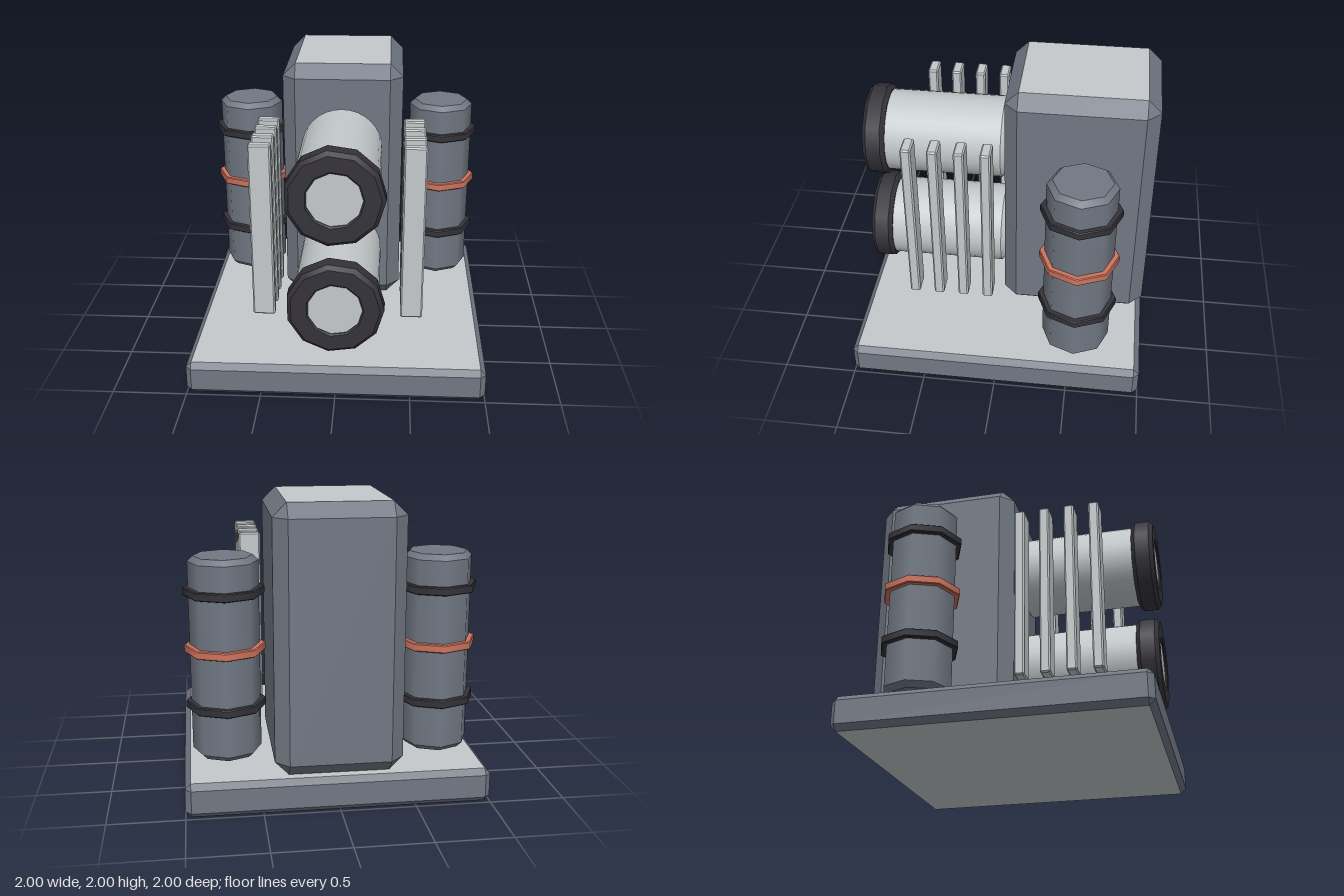
import * as THREE from 'three';
import { mergeGeometries } from 'three/addons/utils/BufferGeometryUtils.js';
import { ConvexGeometry } from 'three/addons/geometries/ConvexGeometry.js';

const material = (name, color) => {
  const m = new THREE.MeshStandardMaterial({ color });
  m.name = name;
  return m;
};

// Box with every edge chamfered by c; group 0 = sides, group 1 = flat top and bottom
function chamferBox(w, h, d, c) {
  const points = [];
  for (const sx of [-1, 1]) for (const sy of [-1, 1]) for (const sz of [-1, 1]) {
    const x = w / 2, y = h / 2, z = d / 2;
    points.push(
      new THREE.Vector3(sx * x, sy * (y - c), sz * (z - c)),
      new THREE.Vector3(sx * (x - c), sy * y, sz * (z - c)),
      new THREE.Vector3(sx * (x - c), sy * (y - c), sz * z));
  }
  const geo = new ConvexGeometry(points);
  const normal = geo.attributes.normal;
  for (let i = 0; i < normal.count; i += 3) {
    geo.addGroup(i, 3, Math.abs(normal.getY(i)) > 0.99 ? 1 : 0);
  }
  return geo;
}

// Lathe that is smooth around its axis but sharp at each profile corner
function sharpLathe(profile, sides, start = 0) {
  const pts = profile.map(([r, y]) => new THREE.Vector2(r, y));
  const bands = pts.slice(1).map((p, i) =>
    new THREE.LatheGeometry([pts[i], p], sides, start, Math.PI * 2));
  const geo = mergeGeometries(bands);
  geo.normalizeNormals();
  return geo;
}

// Closed cylinder profile with chamfered rims
const drum = (r, y0, y1, c) => [
  [0, y0], [r - c, y0], [r, y0 + c], [r, y1 - c], [r - c, y1], [0, y1]];

export function createModel() {
  const model = new THREE.Group();
  model.name = 'twinBarrelMachine';

  const slate = material('slate', 0x717883);
  const light = material('lightGrey', 0xc4c9cb);
  const dark = material('charcoal', 0x35333a);
  const orange = material('copper', 0xd0745e);

  const add = (name, geo, mat, x = 0, y = 0, z = 0, parent = model) => {
    const mesh = new THREE.Mesh(geo, mat);
    mesh.name = name;
    mesh.position.set(x, y, z);
    parent.add(mesh);
    return mesh;
  };

  // Base slab and tall housing, with light top and bottom faces
  add('base', chamferBox(2, 0.23, 2, 0.038), [slate, light], 0, 0.115, 0);
  add('housing', chamferBox(0.84, 1.765, 1, 0.09), [slate, light], 0, 1.1175, -0.5);

  // Two forward barrels with dark collars
  const barrelGeo = sharpLathe(drum(0.283, 0, 0.965, 0.038), 32).rotateX(Math.PI / 2);
  const collarGeo = sharpLathe([
    [0.2, 0.828], [0.295, 0.828], [0.322, 0.855], [0.322, 0.953], [0.295, 0.98],
    [0.19, 0.98], [0.18, 0.972], [0.18, 0.93],
  ], 11, Math.PI / 2).rotateX(Math.PI / 2);
  for (const [name, y] of [['upper', 1.427], ['lower', 0.658]]) {
    add(name + 'Barrel', barrelGeo, light, 0, y, 0);
    add(name + 'Collar', collarGeo, dark, 0, y, 0);
  }

  // Side tanks with three bands, and a row of cooling fins on each side
  const tankGeo = sharpLathe(drum(0.23, 0.275, 1.62, 0.036), 8);
  const bandGeo = sharpLathe([
    [0.2, -0.027], [0.26, -0.027], [0.266, -0.021], [0.266, 0.021], [0.26, 0.027], [0.2, 0.027],
  ], 8);
  const finGeo = chamferBox(0.15, 1.23, 0.07, 0.01);
  for (const [side, s] of [['left', 1], ['right', -1]]) {
    const tank = new THREE.Group();
    tank.name = side + 'Tank';
    tank.position.set(s * 0.71, 0, -0.54);
    model.add(tank);
    add('tankBody', tankGeo, slate, 0, 0, 0, tank);
    add('lowerBand', bandGeo, dark, 0, 0.622, 0, tank);
    add('middleBand', bandGeo, orange, 0, 1.005, 0, tank);
    add('upperBand', bandGeo, dark, 0, 1.388, 0, tank);
    for (let i = 0; i < 4; i++) {
      add(side + 'Fin' + (i + 1), finGeo, [light, light], s * 0.502, 1.045, 0.097 + i * 0.173);
    }
  }
  return model;
}
